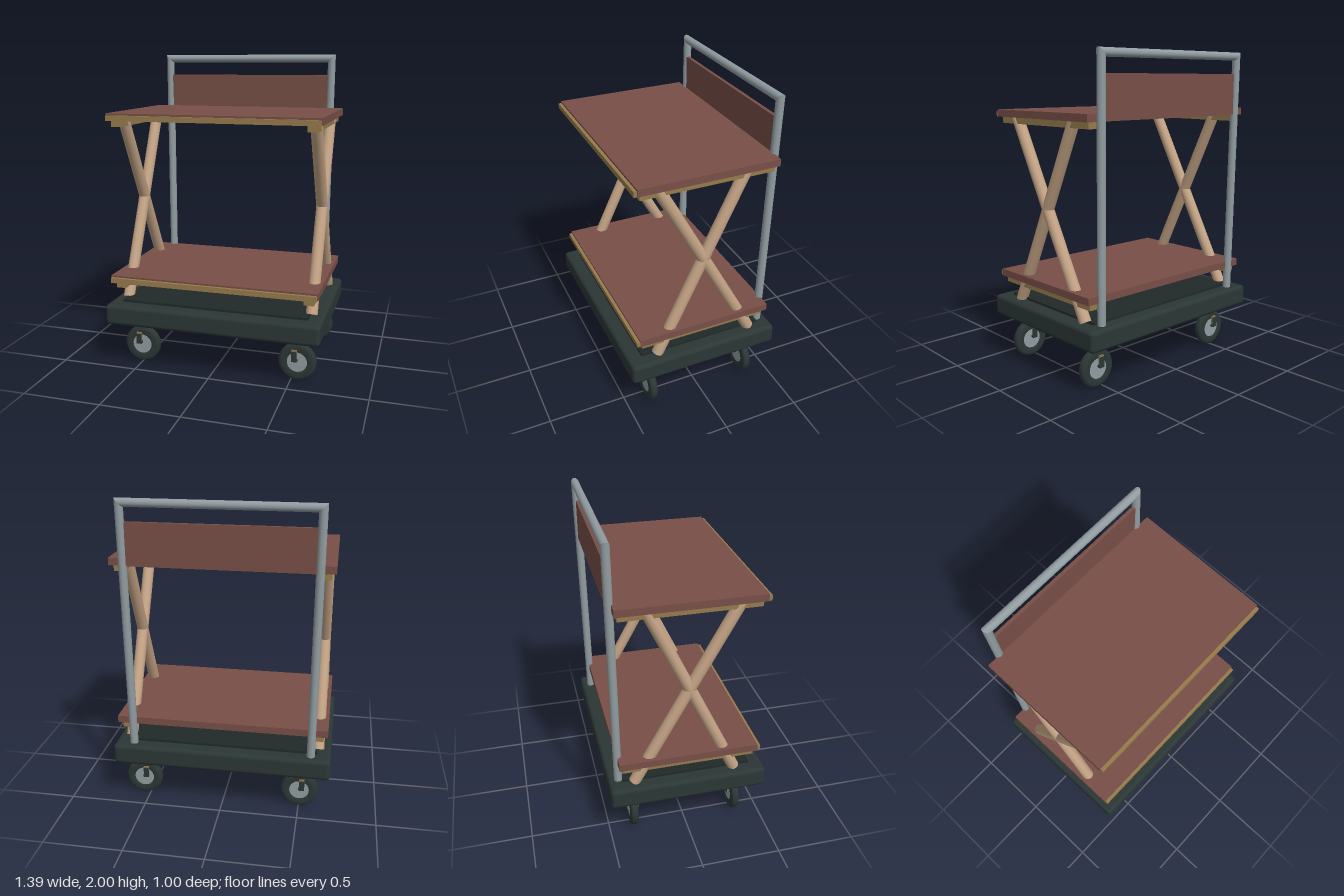
import * as THREE from 'three';
import { RoundedBoxGeometry } from 'three/addons/geometries/RoundedBoxGeometry.js';

const mat = (name, color, side = THREE.FrontSide) => {
  const m = new THREE.MeshStandardMaterial({ color, side });
  m.name = name;
  return m;
};

export function createModel() {
  const cart = new THREE.Group();
  cart.name = 'serviceCart';
  const rubber = mat('darkRubber', 0x2b3735);
  const matting = mat('deckMat', 0x202a29);
  const board = mat('redBrownBoard', 0x784f47);
  const trim = mat('oakTrim', 0x967b4c);
  const wood = mat('paleWood', 0xc2a284);
  const steel = mat('steel', 0x919ca0, THREE.DoubleSide);
  const brass = mat('bracketBrass', 0x8a7350);

  const add = (parent, name, geo, material, x = 0, y = 0, z = 0) => {
    const m = new THREE.Mesh(geo, material);
    m.name = name;
    m.position.set(x, y, z);
    parent.add(m);
    return m;
  };
  // Box given by its low and high corners
  const box = (parent, name, material, [x0, y0, z0], [x1, y1, z1]) =>
    add(parent, name, new THREE.BoxGeometry(x1 - x0, y1 - y0, z1 - z0), material,
      (x0 + x1) / 2, (y0 + y1) / 2, (z0 + z1) / 2);
  // Round bar between two points
  const rod = (parent, name, material, a, b, r) => {
    const p = new THREE.Vector3(...a), q = new THREE.Vector3(...b);
    const m = add(parent, name, new THREE.CylinderGeometry(r, r, p.distanceTo(q), 24), material);
    m.position.copy(p).add(q).multiplyScalar(0.5);
    m.quaternion.setFromUnitVectors(new THREE.Vector3(0, 1, 0), q.sub(p).normalize());
    return m;
  };

  // Rolling deck
  add(cart, 'deck', new RoundedBoxGeometry(1.394, 0.134, 1, 4, 0.026), rubber, 0, 0.352, 0);
  box(cart, 'deckMat', matting, [-0.61, 0.41, -0.41], [0.61, 0.434, 0.41]);

  // Two shelves with a front lip and cleats underneath
  for (const [name, top] of [['lowerShelf', 0.602], ['upperShelf', 1.642]]) {
    const shelf = new THREE.Group();
    shelf.name = name;
    shelf.position.y = top;
    cart.add(shelf);
    box(shelf, 'shelfBoard', board, [-0.672, -0.045, -0.44], [0.672, 0, 0.44]);
    box(shelf, 'frontLip', trim, [-0.667, -0.045, 0.44], [0.667, -0.012, 0.46]);
    for (const s of [-1, 1]) {
      const cleat = box(shelf, 'cleat', trim, [-0.032, -0.085, -0.42], [0.032, -0.045, 0.42]);
      cleat.position.x = s * 0.614;
    }
  }

  // Crossed legs on each side
  for (const s of [-1, 1]) {
    const x = s * 0.614;
    rod(cart, 'crossLeg', wood, [x, 0.42, -0.34], [x, 1.598, 0.305], 0.037);
    rod(cart, 'crossLeg', wood, [x, 0.42, 0.305], [x, 1.598, -0.255], 0.037);
  }

  // Push handle: three tubes cut at 45 degrees where they meet
  const r = 0.026, barY = 1.974, barZ = -0.457, barX = 0.583, footY = 0.41;
  for (const s of [-1, 1]) {
    const post = new THREE.CylinderGeometry(r, r, barY - footY, 24, 1, true);
    const p = post.attributes.position;
    for (let i = 0; i < p.count; i++) {
      const x = p.getX(i), z = p.getZ(i), top = p.getY(i) > 0;
      p.setXYZ(i, x + s * (top ? barX : 0.571), top ? barY + s * x : footY, z + (top ? barZ : -0.436));
    }
    post.computeVertexNormals();
    add(cart, 'handlePost', post, steel);
  }
  const bar = new THREE.CylinderGeometry(r, r, 2 * barX, 24, 1, true).rotateZ(Math.PI / 2);
  const bp = bar.attributes.position;
  for (let i = 0; i < bp.count; i++) bp.setX(i, bp.getX(i) + Math.sign(bp.getX(i)) * bp.getY(i));
  add(cart, 'handleBar', bar, steel, 0, barY, barZ);

  // Panel between the handle posts
  box(cart, 'backPanel', board, [-0.572, 1.6, -0.462], [0.572, 1.862, -0.44]);

  // Casters: all four trail the same way
  const tyreProfile = [[0.06, -0.018], [0.07, -0.026], [0.1, -0.026], [0.114, -0.021], [0.12, -0.011],
    [0.12, 0.011], [0.114, 0.021], [0.1, 0.026], [0.07, 0.026], [0.06, 0.018]];
  const tyre = new THREE.LatheGeometry(tyreProfile.map(([a, b]) => new THREE.Vector2(a, b)), 40)
    .rotateX(Math.PI / 2);
  const hub = new THREE.CylinderGeometry(0.064, 0.064, 0.044, 32).rotateX(Math.PI / 2);
  const axle = new THREE.CylinderGeometry(0.011, 0.011, 0.08, 12).rotateX(Math.PI / 2);
  for (const x of [-0.52, 0.52]) for (const z of [-0.34, 0.34]) {
    const caster = new THREE.Group();
    caster.name = 'caster';
    caster.position.set(x, 0, z);
    cart.add(caster);
    box(caster, 'mountPlate', brass, [-0.06, 0.274, -0.042], [0.06, 0.288, 0.042]);
    add(caster, 'swivelRing', new THREE.CylinderGeometry(0.038, 0.034, 0.012, 24), steel, 0, 0.269, 0);
    add(caster, 'stem', new THREE.CylinderGeometry(0.015, 0.015, 0.05, 16), brass, 0, 0.245, 0);
    add(caster, 'tyre', tyre, rubber, 0.018, 0.12, 0);
    add(caster, 'hub', hub, steel, 0.018, 0.12, 0);
    add(caster, 'axle', axle, rubber, 0.012, 0.135, 0);
    box(caster, 'forkBridge', brass, [-0.016, 0.192, -0.036], [0.018, 0.202, 0.036]);
    for (const s of [-1, 1]) {
      const arm = box(caster, 'forkArm', brass, [-0.016, 0.125, -0.005], [0.018, 0.2, 0.005]);
      arm.position.z = s * 0.031;
      const cover = box(caster, 'forkCover', rubber, [-0.016, 0.125, -0.002], [0.018, 0.192, 0.002]);
      cover.position.z = s * 0.038;
    }
  }
  return cart;
}
